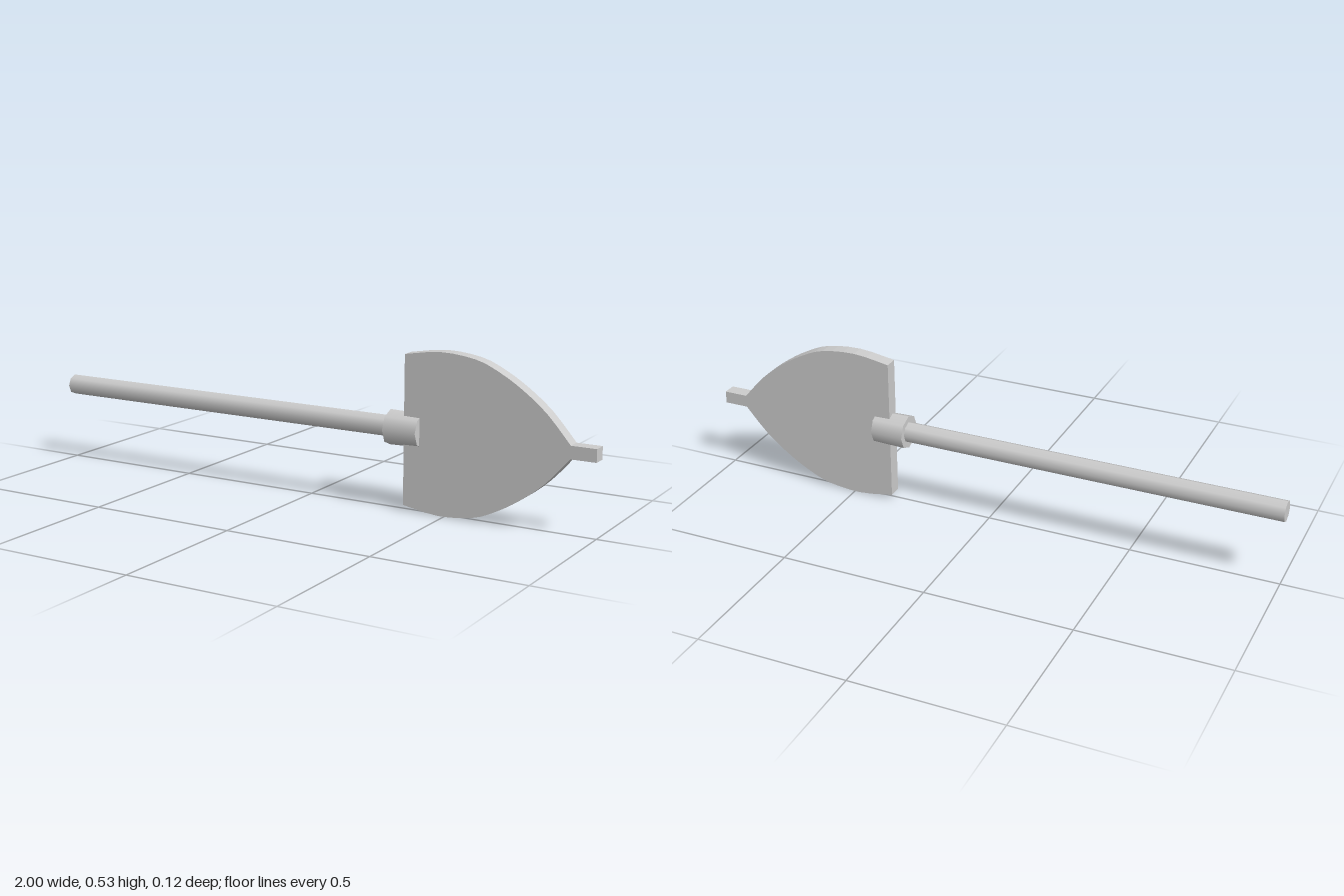
import * as THREE from 'three';

const AXIS_Y = 0.264;

// Eight-sided rod lying along x from x0 to x1
function rod(name, x0, x1, r0, r1, material) {
  const geometry = new THREE.CylinderGeometry(r1, r0, x1 - x0, 8);
  geometry.rotateZ(-Math.PI / 2);
  const mesh = new THREE.Mesh(geometry, material);
  mesh.name = name;
  mesh.position.set((x0 + x1) / 2, AXIS_Y, 0);
  return mesh;
}

export function createModel() {
  const group = new THREE.Group();
  group.name = 'spade';
  const grey = new THREE.MeshStandardMaterial({ color: 0xcccccc });
  grey.name = 'light grey';

  const shaft = rod('shaft', -1, 0.32, 0.035, 0.035, grey);
  shaft.position.y += 0.002;
  shaft.position.z = -0.002;
  group.add(shaft);
  group.add(rod('collar', 0.295, 0.41, 0.058, 0.055, grey));

  // Blade: curved upper edge ending in a square tip, mirrored below the axis
  const edge = new THREE.SplineCurve([
    [0.355, 0.245], [0.48, 0.263], [0.6, 0.251], [0.68, 0.219],
    [0.76, 0.171], [0.84, 0.107], [0.917, 0.021],
  ].map(([x, y]) => new THREE.Vector2(x, y))).getPoints(18);
  const upper = [...edge, new THREE.Vector2(1, 0.021)];
  const lower = upper.map((p) => new THREE.Vector2(p.x, -p.y)).reverse();
  const depth = 0.046;
  const bladeGeometry = new THREE.ExtrudeGeometry(
    new THREE.Shape([...upper, ...lower]), { depth, bevelEnabled: false });
  bladeGeometry.translate(0, AXIS_Y, -depth / 2);
  const blade = new THREE.Mesh(bladeGeometry, grey);
  blade.name = 'blade';
  group.add(blade);

  return group;
}
